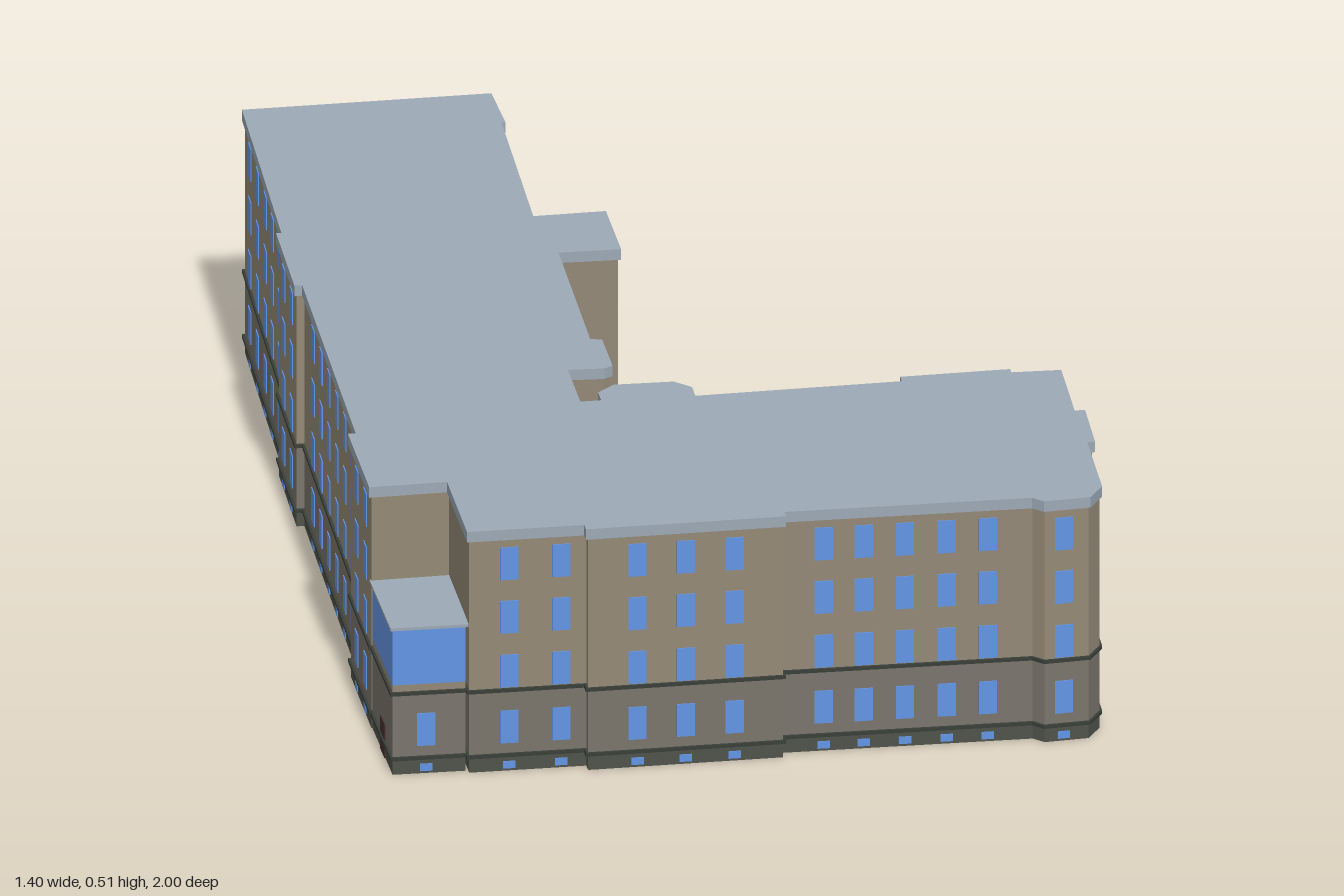
import * as THREE from 'three';
import { mergeGeometries } from 'three/addons/utils/BufferGeometryUtils.js';

const mat = (color) => new THREE.MeshStandardMaterial({ color, flatShading: true });
const M = {
  wall: mat(0x948977), ground: mat(0x7a756c), plinth: mat(0x50544b), ledge: mat(0x3a3f3a),
  roof: mat(0x9ca9b6), glass: mat(0x6495e5), door: mat(0x4a3030),
};

// Roof outline as [x, z], clockwise seen from above, starting at the back corner
const OUTLINE = [
  [-.657, -1], [-.177, -.995], [-.172, -.86], [-.18, -.86], [-.19, -.435], [-.05, -.435],
  [-.05, -.26], [-.17, -.265], [-.175, .13], [-.153, .135], [-.153, .255], [-.17, .265],
  [-.24, .26], [-.24, .405], [-.2, .405], [-.2, .37], [-.165, .34], [-.05, .345],
  [-.02, .375], [-.02, .415], [.378, .415], [.378, .395], [.59, .395], [.59, .41],
  [.685, .415], [.68, .6], [.7, .6], [.695, .745], [.68, .745], [.675, .945],
  [.645, .99], [.555, .995], [.535, .975], [.06, .96], [.06, .98], [-.325, .975],
  [-.325, .955], [-.55, .95], [-.55, .72], [-.7, .72], [-.7, .475], [-.685, .475],
  [-.675, -.2], [-.69, -.2], [-.685, -.44], [-.675, -.44],
];
const ANNEX = [[-.698, .71], [-.545, .71], [-.545, .94], [-.695, .935]];

// Outward normal of edge i
function normal(p, i) {
  const a = p[i], b = p[(i + 1) % p.length];
  const dx = b[0] - a[0], dz = b[1] - a[1], l = Math.hypot(dx, dz);
  return [dz / l, -dx / l];
}

// Mitred inset of an outline
function inset(p, d) {
  return p.map((v, i) => {
    const m = normal(p, (i + p.length - 1) % p.length), n = normal(p, i);
    const k = d / Math.max(0.35, 1 + m[0] * n[0] + m[1] * n[1]);
    return [v[0] - (m[0] + n[0]) * k, v[1] - (m[1] + n[1]) * k];
  });
}

// Upright prism over an outline
function prism(group, name, outline, y0, y1, material) {
  const shape = new THREE.Shape(outline.map(([x, z]) => new THREE.Vector2(x, -z)));
  const geo = new THREE.ExtrudeGeometry(shape, { depth: y1 - y0, bevelEnabled: false });
  geo.rotateX(-Math.PI / 2).translate(0, y0, 0);
  const mesh = new THREE.Mesh(geo, material);
  mesh.name = name;
  group.add(mesh);
}

// Thin panel on edge i, centred at coordinate c along the edge's main axis
function panel(p, i, c, y0, y1, w) {
  const a = p[i], b = p[(i + 1) % p.length];
  const k = Math.abs(b[0] - a[0]) > Math.abs(b[1] - a[1]) ? 0 : 1;
  const t = (c - a[k]) / (b[k] - a[k]), n = normal(p, i);
  return new THREE.BoxGeometry(w, y1 - y0, 0.004)
    .rotateY(Math.atan2(n[0], n[1]))
    .translate(a[0] + (b[0] - a[0]) * t, (y0 + y1) / 2, a[1] + (b[1] - a[1]) * t);
}

const ROWS = [[.058, .126], [.175, .243], [.288, .356], [.4, .468]];
const STAIR_ROWS = [[.12, .152], [.235, .292], [.343, .372], [.415, .47]];
const CELLAR = [.005, .02];

// Regular window columns: [edge, positions along the edge]
const COLUMNS = [
  [3, [-.807, -.721, -.566, -.48]], [7, [-.222, -.142, 0, .083]], [12, [.303]], [16, [-.108]],
  [19, [.04, .13, .22, .31]], [21, [.435, .535]], [23, [.64]], [24, [.571]], [28, [.796]],
  [30, [.594]], [32, [.451, .372, .292, .213, .136]], [34, [-.038, -.132, -.225]],
  [36, [-.368, -.468]], [39, [.65, .55]], [41, [.41, .31, .21, .11, .01, -.09]],
  [43, [-.27, -.37]], [45, [-.5, -.6, -.7, -.81, -.92]],
];
// Stair columns with a door below: [edge, position]
const STAIRS = [[1, -.925], [5, -.34], [9, .206], [26, .683]];

export function createModel() {
  const model = new THREE.Group();
  const walls = inset(OUTLINE, 0.005), annexWalls = inset(ANNEX, 0.005);

  // Main building, storey by storey
  const main = new THREE.Group();
  main.name = 'mainBuilding';
  prism(main, 'plinth', walls, 0, .033, M.plinth);
  prism(main, 'plinthLedge', OUTLINE, .03, .037, M.ledge);
  prism(main, 'groundFloorWalls', walls, .037, .167, M.ground);
  prism(main, 'storeyLedge', OUTLINE, .166, .173, M.ledge);
  prism(main, 'upperWalls', walls, .173, .485, M.wall);
  prism(main, 'roof', OUTLINE, .485, .507, M.roof);
  model.add(main);

  // Low corner annex with a glazed upper floor
  const annex = new THREE.Group();
  annex.name = 'annex';
  prism(annex, 'annexPlinth', annexWalls, 0, .033, M.plinth);
  prism(annex, 'annexPlinthLedge', ANNEX, .03, .037, M.ledge);
  prism(annex, 'annexWalls', annexWalls, .037, .167, M.ground);
  prism(annex, 'annexLedge', ANNEX, .166, .173, M.ledge);
  prism(annex, 'annexParapet', annexWalls, .173, .187, M.wall);
  prism(annex, 'annexGlazing', annexWalls, .187, .303, M.glass);
  prism(annex, 'annexRoof', ANNEX, .303, .309, M.roof);
  model.add(annex);

  // Windows and doors
  const glass = [], doors = [];
  for (const [edge, places] of COLUMNS) {
    for (const c of places) {
      for (const [y0, y1] of ROWS) glass.push(panel(walls, edge, c, y0, y1, .035));
      glass.push(panel(walls, edge, c, ...CELLAR, .024));
    }
  }
  for (const [edge, c] of STAIRS) {
    for (const [y0, y1] of STAIR_ROWS) glass.push(panel(walls, edge, c, y0, y1, .034));
    doors.push(panel(walls, edge, c, 0, .066, .042));
  }
  // Sparse small windows on the back gable
  for (const x of [-.37, -.41, -.47]) {
    glass.push(panel(walls, 0, x, .415, .465, .022));
    glass.push(panel(walls, 0, x, ...CELLAR, .022));
  }
  for (const y of [.08, .2, .31]) glass.push(panel(walls, 0, -.41, y, y + .045, .022));
  // Annex window and side door
  glass.push(panel(annexWalls, 2, -.626, .058, .126, .035));
  glass.push(panel(annexWalls, 2, -.626, ...CELLAR, .024));
  doors.push(panel(annexWalls, 3, .83, 0, .07, .045));

  const windowMesh = new THREE.Mesh(mergeGeometries(glass), M.glass);
  windowMesh.name = 'windows';
  const doorMesh = new THREE.Mesh(mergeGeometries(doors), M.door);
  doorMesh.name = 'doors';
  model.add(windowMesh, doorMesh);
  return model;
}
